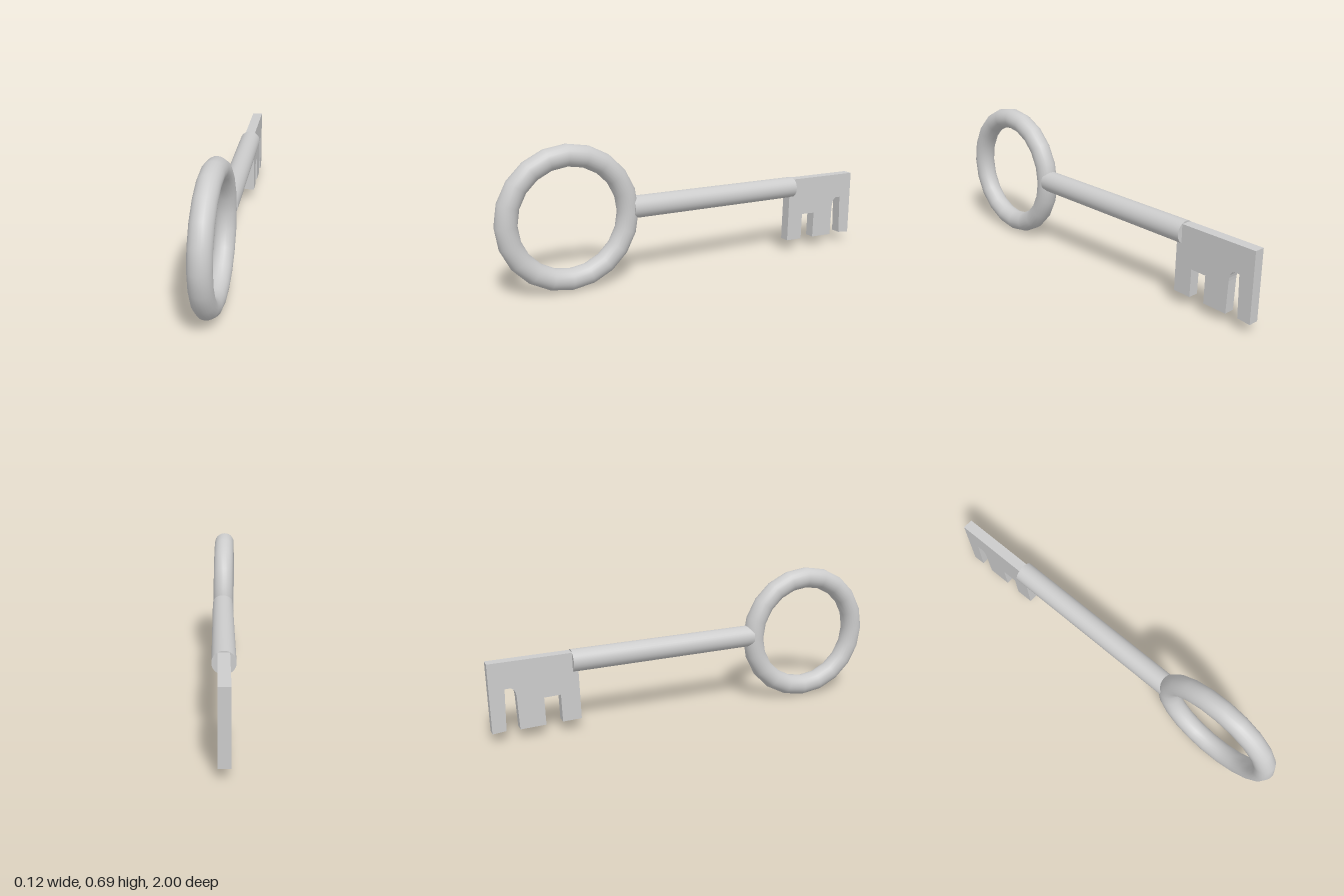
import * as THREE from 'three';

export function createModel() {
  const group = new THREE.Group();
  const material = new THREE.MeshStandardMaterial({ color: 0xcccccc });
  const add = (name, geometry) => {
    const mesh = new THREE.Mesh(geometry, material);
    mesh.name = name;
    group.add(mesh);
    return mesh;
  };

  // Ring handle, turned very slightly off the key's axis
  const bow = add('ringHandle', new THREE.TorusGeometry(0.294, 0.052, 24, 20));
  bow.rotation.y = -Math.PI / 2 - 0.028;
  bow.position.set(-0.004, 0.35, 0.655);

  // Round shaft, sloping gently down toward the bit
  const front = new THREE.Vector3(0.006, 0.363, 0.345);
  const back = new THREE.Vector3(0.006, 0.35, -0.605);
  const axis = front.clone().sub(back);
  const shaft = add('shaft', new THREE.CylinderGeometry(0.054, 0.054, axis.length(), 32));
  shaft.position.copy(front).add(back).multiplyScalar(0.5);
  shaft.quaternion.setFromUnitVectors(new THREE.Vector3(0, 1, 0), axis.normalize());

  // Flat bit: one square notch and one taller notch with a rounded corner
  const outline = new THREE.Shape();
  outline.moveTo(0.58, 0.396);
  outline.lineTo(0.571, 0.063);
  outline.lineTo(0.663, 0.06);
  outline.lineTo(0.667, 0.197);
  outline.lineTo(0.747, 0.194);
  outline.lineTo(0.743, 0.058);
  outline.lineTo(0.866, 0.054);
  outline.lineTo(0.873, 0.21);
  outline.quadraticCurveTo(0.876, 0.258, 0.9, 0.262);
  outline.lineTo(0.926, 0.261);
  outline.lineTo(0.93, 0.057);
  outline.lineTo(0.995, 0.05);
  outline.lineTo(1.0, 0.389);
  outline.closePath();
  const bit = add('toothedBit', new THREE.ExtrudeGeometry(outline, {
    depth: 0.053, bevelEnabled: false, curveSegments: 5,
  }));
  bit.rotation.y = Math.PI / 2;
  bit.position.x = -0.02;

  return group;
}
